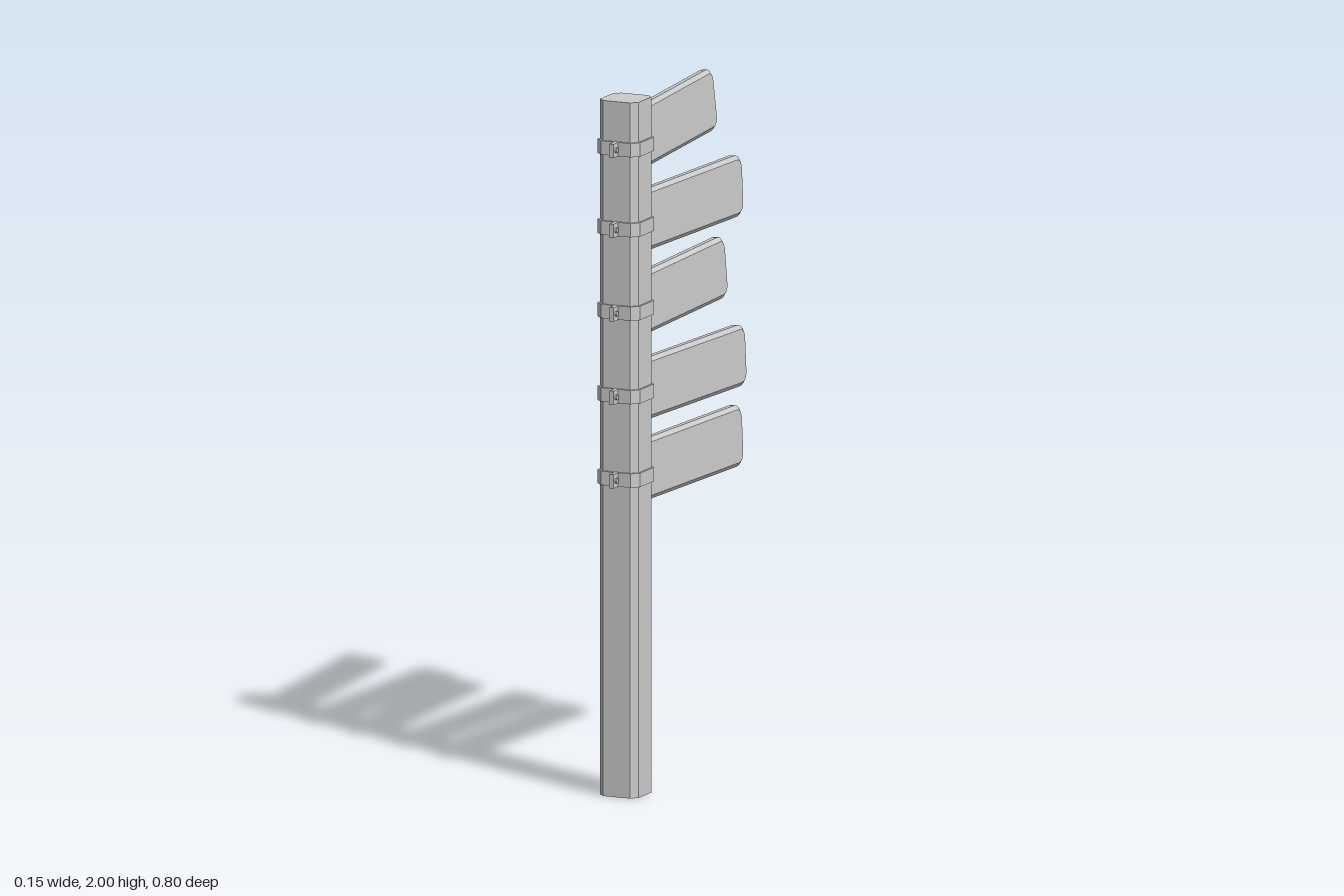
import * as THREE from 'three';

const material = new THREE.MeshStandardMaterial({ color: 0xcccccc, flatShading: true, side: THREE.DoubleSide });
const POST_X = 0.01, POST_Z = 0.305;

function add(parent, geometry, name, x = 0, y = 0, z = 0) {
  const mesh = new THREE.Mesh(geometry, material);
  mesh.name = name;
  mesh.position.set(x, y, z);
  parent.add(mesh);
  return mesh;
}

// Square with cut corners
function octagon(h, c) {
  return [[-h + c, -h], [h - c, -h], [h, -h + c], [h, h - c], [h - c, h], [-h + c, h], [-h, h - c], [-h, -h + c]]
    .map(([x, y]) => new THREE.Vector2(x, y));
}

// Upright tube with cut corners
function octagonTube(outer, inner, cut, height) {
  const shape = new THREE.Shape(octagon(outer, cut));
  shape.holes.push(new THREE.Path(octagon(inner, cut)));
  return new THREE.ExtrudeGeometry(shape, { depth: height, bevelEnabled: false }).rotateX(-Math.PI / 2);
}

// Board with rounded outer corners and bevelled rims, running along +x
function boardGeometry(length, height) {
  const b = 0.012, x0 = b, x1 = length - b, h = height / 2 - b, r = 0.03, s = 0.008;
  const shape = new THREE.Shape();
  shape.moveTo(x0 + s, -h);
  shape.lineTo(x1 - r, -h);
  shape.quadraticCurveTo(x1, -h, x1, -h + r);
  shape.lineTo(x1, h - r);
  shape.quadraticCurveTo(x1, h, x1 - r, h);
  shape.lineTo(x0 + s, h);
  shape.lineTo(x0, h - s);
  shape.lineTo(x0, -h + s);
  shape.closePath();
  return new THREE.ExtrudeGeometry(shape, {
    depth: 0.016, bevelThickness: 0.009, bevelSize: b, bevelSegments: 1, curveSegments: 5,
  }).translate(0.055, 0, -0.008);
}

export function createModel() {
  const model = new THREE.Group();
  model.name = 'signpost';

  // Hollow post, closed on top and open below
  const post = new THREE.Group();
  post.name = 'post';
  post.position.set(POST_X, 0, POST_Z);
  model.add(post);
  add(post, octagonTube(0.06, 0.057, 0.018, 2), 'postShaft');
  add(post, new THREE.ShapeGeometry(new THREE.Shape(octagon(0.06, 0.018))).rotateX(-Math.PI / 2), 'postCap', 0, 2, 0);

  const board = boardGeometry(0.645, 0.175);
  const band = octagonTube(0.066, 0.06, 0.02, 0.04).translate(0, -0.02, 0);

  // One sign per entry: height, yaw, pitch, roll
  const signs = [
    [1.865, 0.094, 0, -0.1],
    [1.63, -0.03, -0.008, -0.05],
    [1.388, 0.045, -0.004, -0.08],
    [1.145, -0.045, -0.01, -0.05],
    [0.913, -0.03, -0.01, -0.05],
  ];
  const bandHeights = [1.865, 1.635, 1.395, 1.155, 0.915];
  signs.forEach(([y, yaw, pitch, roll], i) => {
    const sign = add(model, board, 'signBoard', POST_X, y, POST_Z);
    sign.rotation.set(roll, Math.PI / 2 + yaw, pitch, 'YZX');

    // Clamp band with its tab and bolt
    const clamp = new THREE.Group();
    clamp.name = 'clamp';
    clamp.position.set(POST_X, bandHeights[i], POST_Z);
    model.add(clamp);
    add(clamp, band, 'clampBand');
    add(clamp, new THREE.BoxGeometry(0.013, 0.04, 0.034), 'clampTab', 0.001, 0, 0.08);
    const bolt = add(clamp, new THREE.CylinderGeometry(0.008, 0.008, 0.006, 6), 'clampBolt', 0.01, 0, 0.081);
    bolt.rotation.z = Math.PI / 2;
  });

  return model;
}
